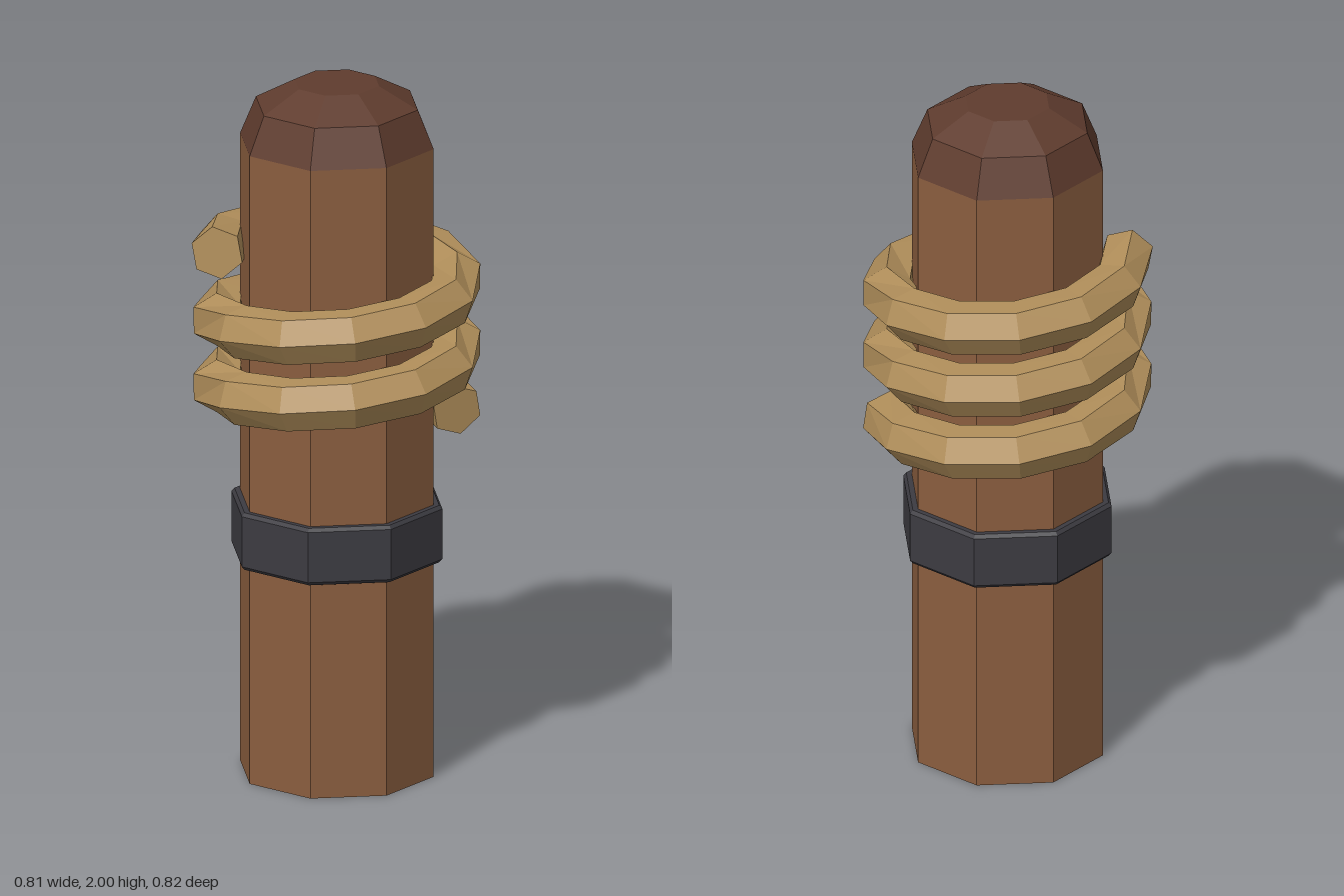
import * as THREE from 'three';

const mat = (name, color) => {
  const m = new THREE.MeshStandardMaterial({ color, flatShading: true });
  m.name = name;
  return m;
};

// Eight-sided turned part; profile gives [flat-to-centre distance, height], bottom up
function octagonal(name, material, profile) {
  const points = profile.map(([a, y]) => new THREE.Vector2(a / Math.cos(Math.PI / 8), y));
  const mesh = new THREE.Mesh(new THREE.LatheGeometry(points, 8, Math.PI / 8), material);
  mesh.name = name;
  return mesh;
}

// Six-sided rope wound as a helix, twisting where it runs along z
function ropeGeometry({ radius, thickness, turns, y0, y1, steps, sides }) {
  const count = turns * steps;
  const centres = [];
  for (let i = 0; i <= count; i++) {
    const a = (i / steps) * Math.PI * 2;
    centres.push(new THREE.Vector3(
      radius * Math.cos(a), y0 + (y1 - y0) * i / count, -radius * Math.sin(a)));
  }
  const positions = [], index = [];
  centres.forEach((c, i) => {
    const t = centres[Math.min(i + 1, count)].clone()
      .sub(centres[Math.max(i - 1, 0)]).normalize();
    const u = new THREE.Vector3(0, 0, 1).addScaledVector(t, -t.z).normalize();
    const v = t.clone().cross(u);
    for (let j = 0; j < sides; j++) {
      const p = (j / sides) * Math.PI * 2;
      const q = c.clone().addScaledVector(u, thickness * Math.cos(p))
        .addScaledVector(v, thickness * Math.sin(p));
      positions.push(q.x, q.y, q.z);
    }
  });
  for (let i = 0; i < count; i++) {
    for (let j = 0; j < sides; j++) {
      const k = (j + 1) % sides;
      const a = i * sides + j, b = i * sides + k;
      const c = b + sides, d = a + sides;
      index.push(a, b, c, a, c, d);
    }
  }
  // Cut ends
  const last = count * sides;
  for (let j = 1; j < sides - 1; j++) {
    index.push(0, j + 1, j, last, last + j, last + j + 1);
  }
  const g = new THREE.BufferGeometry();
  g.setAttribute('position', new THREE.Float32BufferAttribute(positions, 3));
  g.setIndex(index);
  const flat = g.toNonIndexed();
  flat.computeVertexNormals();
  return flat;
}

export function createModel() {
  const wood = mat('wood', 0x8b5e3f);
  const darkWood = mat('dark wood', 0x5f3c2e);
  const iron = mat('iron', 0x3c3b41);
  const hemp = mat('hemp', 0xb08e5a);

  const model = new THREE.Group();
  model.name = 'mooringPost';

  // Post shaft and its chamfered cap
  model.add(octagonal('post', wood, [[0, 0], [0.257, 0], [0.257, 1.83]]));
  model.add(octagonal('cap', darkWood,
    [[0.257, 1.83], [0.215, 1.94], [0.112, 2], [0, 2]]));

  // Iron band with small bevels
  model.add(octagonal('band', iron,
    [[0.25, 0.627], [0.272, 0.627], [0.28, 0.637], [0.28, 0.783], [0.272, 0.793], [0.25, 0.793]]));

  // Rope coil
  const rope = new THREE.Mesh(ropeGeometry({
    radius: 0.335, thickness: 0.075, turns: 2.5, y0: 1.032, y1: 1.517, steps: 12, sides: 6,
  }), hemp);
  rope.name = 'ropeCoil';
  model.add(rope);

  return model;
}
